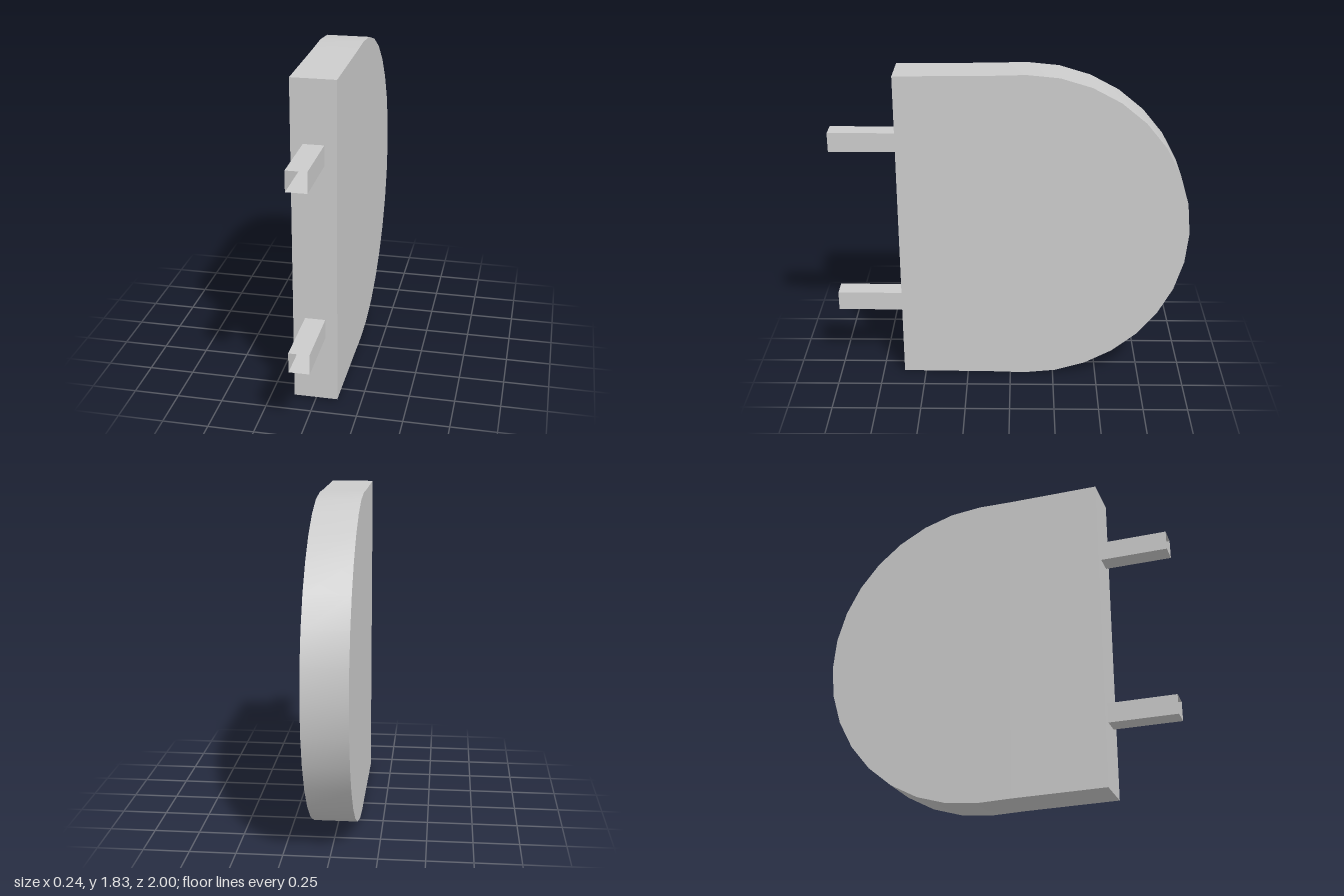
import * as THREE from 'three';
import { toCreasedNormals } from 'three/addons/utils/BufferGeometryUtils.js';

const RADIUS = 0.915;      // rounded back of the slab
const CENTRE_Z = -0.085;   // centre of the arc
const FRONT_Z = 0.625;     // flat front edge
const THICKNESS = 0.24;

export function createModel() {
  const group = new THREE.Group();
  const material = new THREE.MeshStandardMaterial({ color: 0xcccccc });

  // D-shaped slab: outline drawn as (z, y), then turned to stand across x
  const outline = [
    [FRONT_Z, 0.01], [FRONT_Z, 1.82], [0.1, 1.825],
  ].map(([z, y]) => new THREE.Vector2(z, y));
  const steps = 16;
  for (let i = 0; i <= steps; i++) {
    const a = Math.PI / 2 + (i / steps) * Math.PI;
    outline.push(new THREE.Vector2(CENTRE_Z + RADIUS * Math.cos(a), RADIUS + RADIUS * Math.sin(a)));
  }
  outline.push(new THREE.Vector2(0.1, 0.005));

  const slabGeometry = new THREE.ExtrudeGeometry(new THREE.Shape(outline), {
    depth: THICKNESS, bevelEnabled: false,
  });
  slabGeometry.translate(0, 0, -THICKNESS / 2);
  slabGeometry.rotateY(-Math.PI / 2);
  const slab = new THREE.Mesh(toCreasedNormals(slabGeometry, 0.5), material);
  slab.name = 'roundedSlab';
  group.add(slab);

  // Two hollow square pegs, open at the ends
  const pegMaterial = new THREE.MeshStandardMaterial({
    color: 0xcccccc, flatShading: true, side: THREE.DoubleSide,
  });
  const pegLength = 1 - FRONT_Z;
  const pegRadius = 0.055 * Math.SQRT2;
  const pegGeometry = new THREE.CylinderGeometry(pegRadius, pegRadius, pegLength, 4, 1, true);
  pegGeometry.rotateY(Math.PI / 4);
  pegGeometry.rotateX(Math.PI / 2);
  for (const [name, y] of [['upperPeg', 1.424], ['lowerPeg', 0.44]]) {
    const peg = new THREE.Mesh(pegGeometry, pegMaterial);
    peg.name = name;
    peg.position.set(0, y, FRONT_Z + pegLength / 2);
    group.add(peg);
  }

  return group;
}
